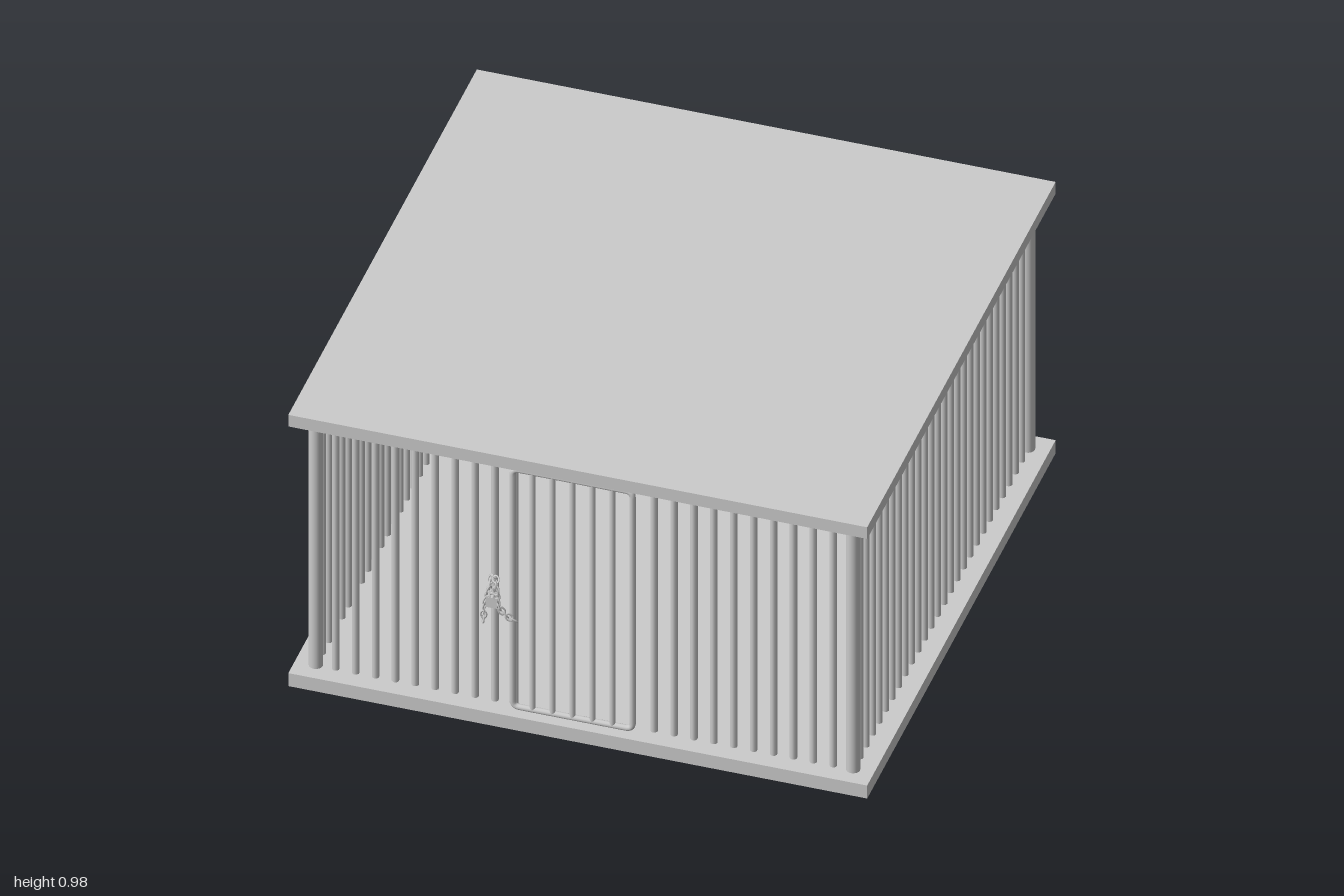
import * as THREE from 'three';

export function createModel() {
  const model = new THREE.Group();
  const cage = new THREE.Group();
  cage.name = 'cage';
  cage.rotation.y = 0.1407; // the cage stands slightly turned
  model.add(cage);

  const mat = new THREE.MeshStandardMaterial({ color: 0xcccccc });
  const add = (parent, name, geometry, x = 0, y = 0, z = 0) => {
    const mesh = new THREE.Mesh(geometry, mat);
    mesh.name = name;
    mesh.position.set(x, y, z);
    parent.add(mesh);
    return mesh;
  };

  const SIDE = 1.767, INSET = 0.82, LOW = 0.045, HIGH = 0.94;
  const barHeight = HIGH - LOW, barY = (HIGH + LOW) / 2;

  // Floor and roof slabs
  add(cage, 'floor', new THREE.BoxGeometry(SIDE, 0.047, SIDE), 0, 0.0235, 0);
  add(cage, 'roof', new THREE.BoxGeometry(SIDE, 0.042, SIDE), 0, 0.96, 0);

  // Corner posts
  const postGeo = new THREE.CylinderGeometry(0.021, 0.021, barHeight, 16);
  for (const sx of [-1, 1]) for (const sz of [-1, 1])
    add(cage, 'cornerPost', postGeo, sx * INSET, barY, sz * INSET);

  // Four walls of bars; the front one leaves an opening for the door
  const doorLeft = -0.208, doorRight = 0.158, doorZ = 0.855;
  const barGeo = new THREE.CylinderGeometry(0.011, 0.011, barHeight, 10);
  const gaps = 27;
  ['front', 'left', 'back', 'right'].forEach((side, k) => {
    const wall = new THREE.Group();
    wall.name = side + 'Bars';
    wall.rotation.y = k * Math.PI / 2;
    for (let i = 1; i < gaps; i++) {
      const x = -INSET + 2 * INSET * i / gaps;
      if (k === 0 && x > doorLeft && x < doorRight) continue;
      add(wall, 'bar', barGeo, x, barY, INSET);
    }
    cage.add(wall);
  });

  // Door: round tube frame with bent corners and inner bars
  const door = new THREE.Group();
  door.name = 'door';
  cage.add(door);
  const y0 = 0.065, y1 = 0.922, r = 0.02;
  const path = new THREE.CurvePath();
  const P = (x, y) => new THREE.Vector3(x, y, doorZ);
  const corners = [[doorLeft, y0], [doorRight, y0], [doorRight, y1], [doorLeft, y1]];
  corners.forEach(([x, y], i) => {
    const [px, py] = corners[(i + 3) % 4], [nx, ny] = corners[(i + 1) % 4];
    const [ax, ay] = corners[(i + 2) % 4];
    const enter = P(x + Math.sign(px - x) * r, y + Math.sign(py - y) * r);
    const leave = P(x + Math.sign(nx - x) * r, y + Math.sign(ny - y) * r);
    const next = P(nx + Math.sign(x - nx) * r, ny + Math.sign(y - ny) * r);
    path.add(new THREE.QuadraticBezierCurve3(enter, P(x, y), leave));
    path.add(new THREE.LineCurve3(leave, next));
  });
  add(door, 'doorFrame', new THREE.TubeGeometry(path, 300, 0.0095, 10, true));
  const doorBarGeo = new THREE.CylinderGeometry(0.009, 0.009, y1 - y0, 10);
  for (let i = 1; i < 6; i++)
    add(door, 'doorBar', doorBarGeo, doorLeft + (doorRight - doorLeft) * i / 6, (y0 + y1) / 2, doorZ);

  // Chain and padlock hanging beside the door
  const lock = new THREE.Group();
  lock.name = 'lockAndChain';
  lock.position.set(-0.258, 0.45, 0.885);
  cage.add(lock);
  const linkGeo = new THREE.TorusGeometry(0.009, 0.0026, 6, 12);
  linkGeo.scale(1, 1.5, 1);
  const chain = (name, points) => {
    const curve = new THREE.CatmullRomCurve3(points.map(p => new THREE.Vector3(...p)));
    const count = Math.round(curve.getLength() / 0.018);
    for (let i = 0; i <= count; i++) {
      const link = add(lock, name, linkGeo);
      link.position.copy(curve.getPointAt(i / count));
      link.quaternion.setFromUnitVectors(new THREE.Vector3(0, 1, 0), curve.getTangentAt(i / count));
      link.rotateY(i % 2 ? Math.PI / 2 : 0);
    }
  };
  chain('chainLoop', [[0.012, 0.05, 0.01], [0.01, 0.08, 0], [-0.01, 0.075, -0.02], [-0.012, 0.04, 0.005]]);
  chain('shortChain', [[-0.01, 0.045, 0.008], [-0.02, 0, 0.014], [-0.027, -0.06, 0.01]]);
  chain('longChain', [[0.012, 0.045, 0.01], [0.02, 0, 0.012], [0.04, -0.035, 0.005], [0.062, -0.055, -0.005]]);
  add(lock, 'padlockBody', new THREE.BoxGeometry(0.034, 0.036, 0.014), 0, 0.008, 0.01);
  add(lock, 'padlockShackle', new THREE.TorusGeometry(0.012, 0.0035, 8, 16, Math.PI), 0, 0.026, 0.01);

  return model;
}
